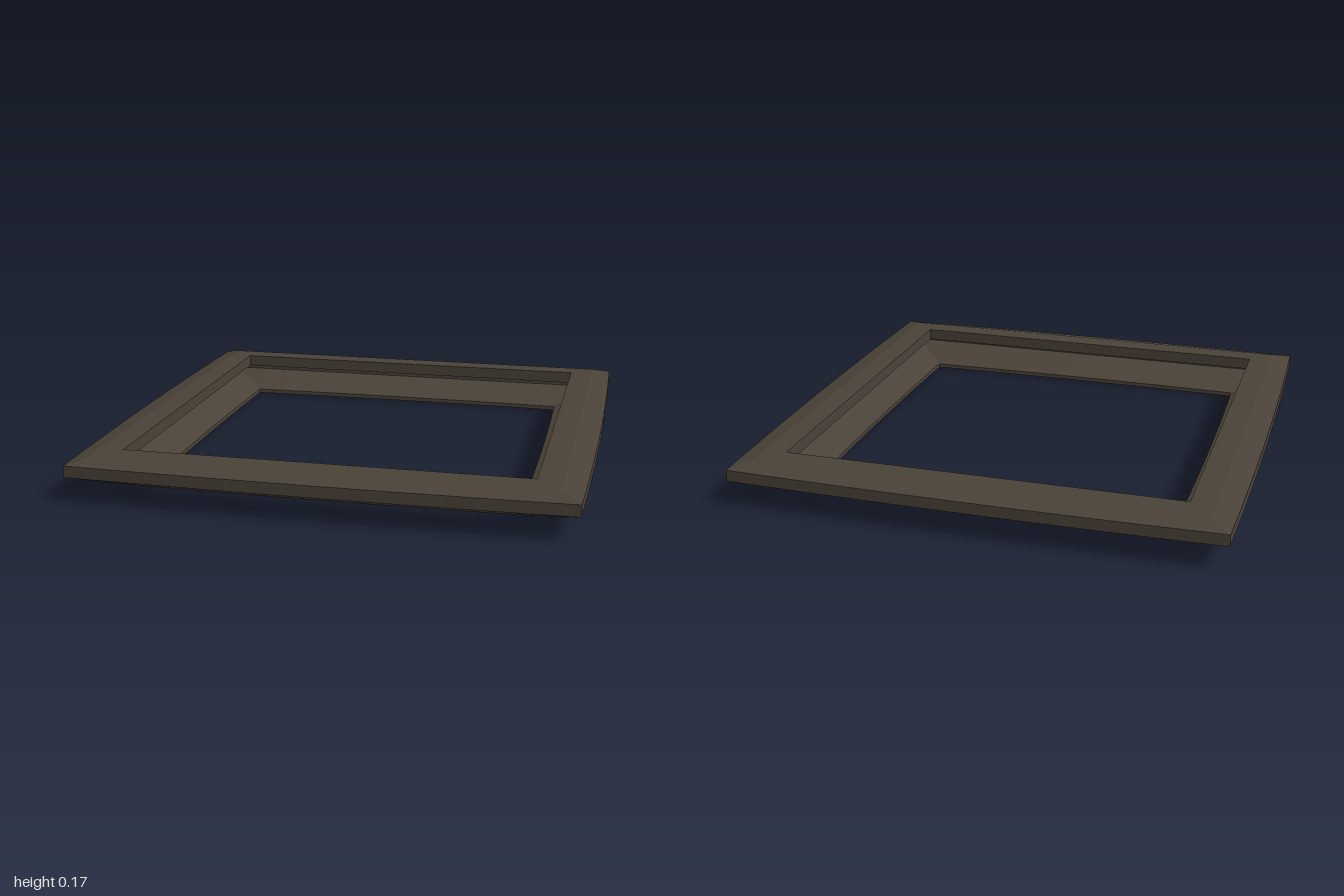
import * as THREE from 'three';

// Closed cross-section of the frame: [distance from centre, height, outward bow at mid-side]
const PROFILE = [
  [0.74, 0, 0.01],        // inner bottom edge
  [0.985, 0.1, 0.015],    // sloping underside
  [0.985, 0.147, 0.015],  // outer wall
  [0.905, 0.172, 0],      // top bevel
  [0.81, 0.172, 0],       // flat top
  [0.81, 0.122, 0],       // lip wall
  [0.9, 0.122, 0],        // underside of lip
  [0.9, 0.086, 0],        // back of groove
  [0.74, 0.018, 0.01],    // inner slope
];
const SEGMENTS = 12;

// One mitred side, slightly bowed outwards, facing +z
function sideGeometry() {
  const point = (i, s) => {
    const [d, y, bow] = PROFILE[i % PROFILE.length];
    return [s * d, y, d + bow * (1 - s * s)];
  };
  const positions = [];
  for (let k = 0; k < SEGMENTS; k++) {
    const s0 = -1 + (2 * k) / SEGMENTS;
    const s1 = -1 + (2 * (k + 1)) / SEGMENTS;
    for (let i = 0; i < PROFILE.length; i++) {
      const a = point(i, s0), b = point(i + 1, s0);
      const c = point(i + 1, s1), d = point(i, s1);
      positions.push(...a, ...d, ...c, ...a, ...c, ...b);
    }
  }
  const geometry = new THREE.BufferGeometry();
  geometry.setAttribute('position', new THREE.Float32BufferAttribute(positions, 3));
  geometry.computeVertexNormals();
  return geometry;
}

export function createModel() {
  const group = new THREE.Group();
  group.name = 'squareFrame';
  const darkBrown = new THREE.MeshStandardMaterial({ color: 0x4a4238 });
  darkBrown.name = 'dark brown';

  // Four identical sides turned around the centre
  const geometry = sideGeometry();
  ['frontSide', 'leftSide', 'backSide', 'rightSide'].forEach((name, i) => {
    const side = new THREE.Mesh(geometry, darkBrown);
    side.name = name;
    side.rotation.y = (i * Math.PI) / 2;
    group.add(side);
  });
  return group;
}
